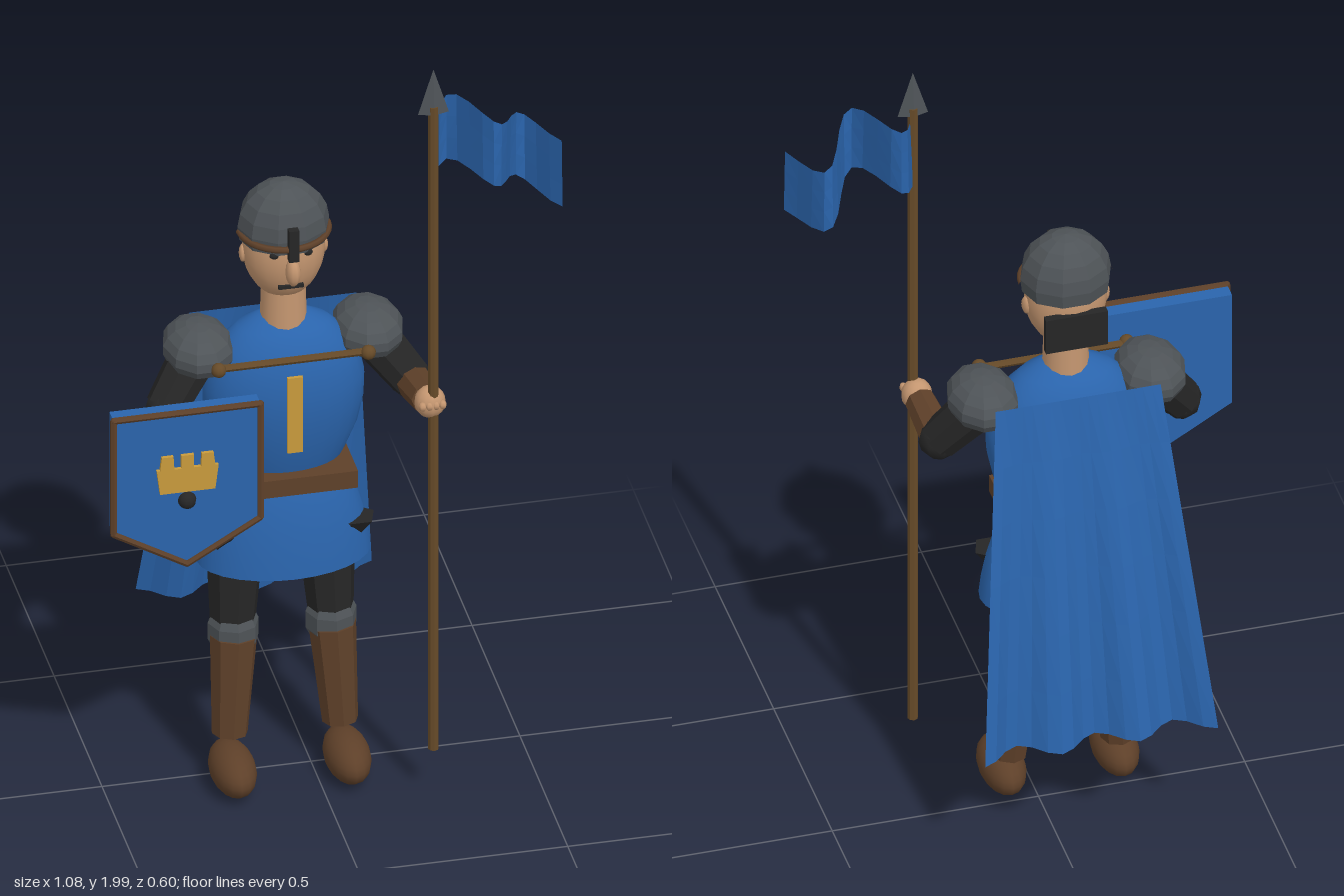
import * as THREE from 'three';

const mat = (name, color, opts = {}) => {
  const m = new THREE.MeshStandardMaterial({ color, ...opts });
  m.name = name;
  return m;
};

export function createModel() {
  const root = new THREE.Group();
  root.name = 'standardBearer';
  const D = { side: THREE.DoubleSide };
  const blue = mat('blueCloth', 0x2a64ac, D);
  const gold = mat('gold', 0xc89a3c);
  const leather = mat('brownLeather', 0x5e4029);
  const wood = mat('wood', 0x664a28);
  const steel = mat('steel', 0x4e5357, D);
  const black = mat('blackCloth', 0x262626);
  const skin = mat('skin', 0xc49670);
  const CX = -0.068; // body centre line

  const add = (name, geo, material, x = 0, y = 0, z = 0, s = null, parent = root) => {
    const m = new THREE.Mesh(geo, material);
    m.name = name;
    m.position.set(x, y, z);
    if (s) m.scale.set(...s);
    parent.add(m);
    return m;
  };
  const box = (name, w, h, d, material, x, y, z) => add(name, new THREE.BoxGeometry(w, h, d), material, x, y, z);
  const ball = (name, r, material, p, ws = 16, hs = 12) => add(name, new THREE.SphereGeometry(1, ws, hs), material, ...p, r);
  const flat = (geo) => {
    const g = geo.index ? geo.toNonIndexed() : geo;
    g.computeVertexNormals();
    return g;
  };
  // tapered faceted limb from point a to point b
  const limb = (name, a, b, ra, rb, material, sides = 8) => {
    const A = new THREE.Vector3(...a), B = new THREE.Vector3(...b);
    const dir = B.clone().sub(A);
    const m = add(name, flat(new THREE.CylinderGeometry(rb, ra, dir.length(), sides)), material);
    m.position.copy(A).add(B).multiplyScalar(0.5);
    m.quaternion.setFromUnitVectors(new THREE.Vector3(0, 1, 0), dir.normalize());
    return m;
  };
  const lathe = (pts, seg) => new THREE.LatheGeometry(pts.map((p) => new THREE.Vector2(...p)), seg);
  // cloth sheet: f(u, v) gives a point
  const sheet = (nu, nv, f) => {
    const g = new THREE.PlaneGeometry(1, 1, nu, nv);
    const p = g.attributes.position;
    for (let i = 0; i < p.count; i++) p.setXYZ(i, ...f(p.getX(i) + 0.5, 0.5 - p.getY(i)));
    return flat(g);
  };

  // Legs, pouches and shoulder guards on both sides
  for (const s of [-1, 1]) {
    const side = s > 0 ? 'left' : 'right';
    ball(side + 'Boot', [0.054, 0.056, 0.105], leather, [CX + s * 0.137, 0.062, 0.075]);
    limb(side + 'Greave', [CX + s * 0.132, 0.13, 0.025], [CX + s * 0.118, 0.385, 0.005], 0.043, 0.057, leather);
    add(side + 'Knee', flat(lathe([[0, -0.045], [0.05, -0.045], [0.061, -0.022], [0.061, 0.022], [0.05, 0.045], [0, 0.045]], 8)),
      steel, CX + s * 0.117, 0.395, -0.005);
    limb(side + 'Thigh', [CX + s * 0.117, 0.42, -0.008], [CX + s * 0.108, 0.66, -0.022], 0.055, 0.072, black);
    const pouch = add(side + 'Pouch', flat(new THREE.ConeGeometry(0.045, 0.06, 5)), black, CX + s * 0.165, 0.675, 0.06);
    pouch.rotation.x = Math.PI;
    add(side + 'ShoulderGuard', flat(new THREE.SphereGeometry(1, 10, 6, 0, Math.PI * 2, 0, Math.PI * 0.66)),
      steel, CX + s * 0.203, 1.185, 0.002, [0.085, 0.064, 0.112]);
  }

  // Tunic and belt
  add('tunicSkirt', lathe([[0.208, 0.6], [0.202, 0.65], [0.19, 0.71], [0.172, 0.77], [0.145, 0.83], [0.12, 0.86]], 28),
    blue, CX, 0, 0.008, [1, 1, 0.64]);
  add('tunicTorso', lathe([[0.12, 0.83], [0.147, 0.88], [0.176, 0.95], [0.191, 1.02], [0.193, 1.08], [0.18, 1.14],
    [0.152, 1.19], [0.11, 1.23], [0.06, 1.255], [0, 1.262]], 28), blue, CX, 0, 0.006, [1, 1, 0.62]);
  box('belt', 0.3, 0.046, 0.206, leather, CX + 0.003, 0.843, 0.019);
  box('chestStripe', 0.037, 0.205, 0.009, gold, CX, 1.047, 0.13);

  // Strap across the chest holding the cape
  limb('capeStrap', [-0.26, 1.187, 0.115], [0.125, 1.187, 0.115], 0.009, 0.009, wood, 6);
  for (const x of [-0.248, 0.11]) ball('capeClasp', [0.018, 0.018, 0.018], wood, [x, 1.187, 0.12], 10, 8);

  // Head
  add('neck', new THREE.CylinderGeometry(0.052, 0.056, 0.12, 14), skin, CX, 1.275, 0.008);
  ball('head', [0.098, 0.135, 0.09], skin, [CX, 1.445, 0.01], 20, 16);
  ball('nose', [0.018, 0.036, 0.025], skin, [CX, 1.425, 0.11], 10, 8);
  box('mouth', 0.06, 0.009, 0.008, black, CX, 1.374, 0.088);
  for (const s of [-1, 1]) {
    ball('eye', [0.012, 0.009, 0.008], black, [CX + s * 0.04, 1.464, 0.09], 8, 6);
    const ear = ball('ear', [0.01, 0.024, 0.016], skin, [CX + s * 0.096, 1.43, 0.005], 8, 6);
    ear.rotation.y = s * 0.3;
  }

  // Helmet with brow band, nose bar and neck plate
  add('helmet', flat(new THREE.SphereGeometry(1, 10, 6, 0, Math.PI * 2, 0, Math.PI * 0.59)), steel, CX, 1.5, 0.008, [0.11, 0.114, 0.1]);
  const brow = add('browBand', new THREE.TorusGeometry(0.106, 0.008, 6, 16, Math.PI), leather, CX, 1.49, 0.008);
  brow.rotation.x = Math.PI / 2;
  box('noseBar', 0.024, 0.085, 0.018, black, CX, 1.503, 0.115);
  box('neckPlate', 0.15, 0.095, 0.02, black, CX, 1.397, -0.08);

  // Arms and hands
  const arm = (side, shoulder, elbow, wrist, hand) => {
    limb(side + 'UpperArm', shoulder, elbow, 0.058, 0.05, black);
    ball(side + 'Elbow', [0.05, 0.05, 0.05], black, elbow, 8, 6);
    limb(side + 'Forearm', elbow, wrist, 0.044, 0.037, leather);
    ball(side + 'Hand', [0.037, 0.04, 0.036], skin, hand, 12, 10);
    for (let i = 0; i < 4; i++)
      ball(side + 'Finger', [0.01, 0.011, 0.013], skin, [hand[0] - 0.024 + i * 0.016, hand[1] + 0.005, hand[2] + 0.028], 6, 5);
  };
  arm('left', [0.14, 1.17, 0], [0.228, 1.055, 0.045], [0.237, 1.075, 0.175], [0.24, 1.08, 0.195]);
  arm('right', [-0.276, 1.17, 0], [-0.358, 1.055, 0.045], [-0.36, 1.01, 0.175], [-0.36, 0.995, 0.195]);

  // Cape with three deep pleats that flare toward the hem
  add('cape', sheet(18, 6, (u, v) => [
    CX + (u - 0.5) * (0.4 + 0.165 * v),
    1.215 - 0.87 * v,
    -0.1 - 0.17 * v - 0.031 * v * Math.cos(u * Math.PI * 6),
  ]), blue);

  // Spear with banner
  limb('spearShaft', [0.245, 0.135, 0.21], [0.245, 1.9, 0.21], 0.0125, 0.0125, wood, 8);
  add('spearTip', flat(new THREE.ConeGeometry(0.037, 0.12, 4)), steel, 0.245, 1.94, 0.21, [1, 1, 0.3]);
  add('banner', sheet(14, 3, (u, v) => [
    0.25 + 0.29 * u,
    1.86 + 0.04 * Math.sin(5.2 * u) - 0.03 * u - 0.175 * v,
    0.21 - 0.068 * Math.sin(10.3 * u + 0.25 * v),
  ]), blue);

  // Shield: pointed plate, rim, emblem and boss
  const shield = new THREE.Group();
  shield.name = 'shield';
  shield.position.set(-0.36, 0, 0);
  root.add(shield);
  const outline = [[-0.176, 1.183], [-0.176, 0.872], [0, 0.768], [0.176, 0.872], [0.176, 1.183]];
  const plate = (pts, depth) => new THREE.ExtrudeGeometry(new THREE.Shape(pts.map((p) => new THREE.Vector2(...p))),
    { depth, bevelEnabled: false });
  add('shieldPlate', plate(outline, 0.042), blue, 0, 0, 0.235, null, shield);
  outline.forEach((a, i) => {
    const b = outline[(i + 1) % outline.length];
    shield.add(limb('shieldRim', [...a, 0.278], [...b, 0.278], 0.008, 0.008, leather, 6));
    shield.add(ball('rimCorner', [0.008, 0.008, 0.008], leather, [...a, 0.278], 6, 5));
  });
  const tower = [[-0.066, 0.97], [0.066, 0.97], [0.074, 1.035], [0.066, 1.035], [0.062, 1.07], [0.034, 1.07], [0.032, 1.035],
    [0.015, 1.035], [0.015, 1.07], [-0.015, 1.07], [-0.015, 1.035], [-0.032, 1.035], [-0.034, 1.07], [-0.062, 1.07],
    [-0.066, 1.035], [-0.074, 1.035]];
  add('shieldTower', plate(tower, 0.009), gold, 0, 0, 0.277, null, shield);
  shield.add(ball('shieldBoss', [0.022, 0.022, 0.022], black, [0, 0.943, 0.278], 10, 8));

  return root;
}
